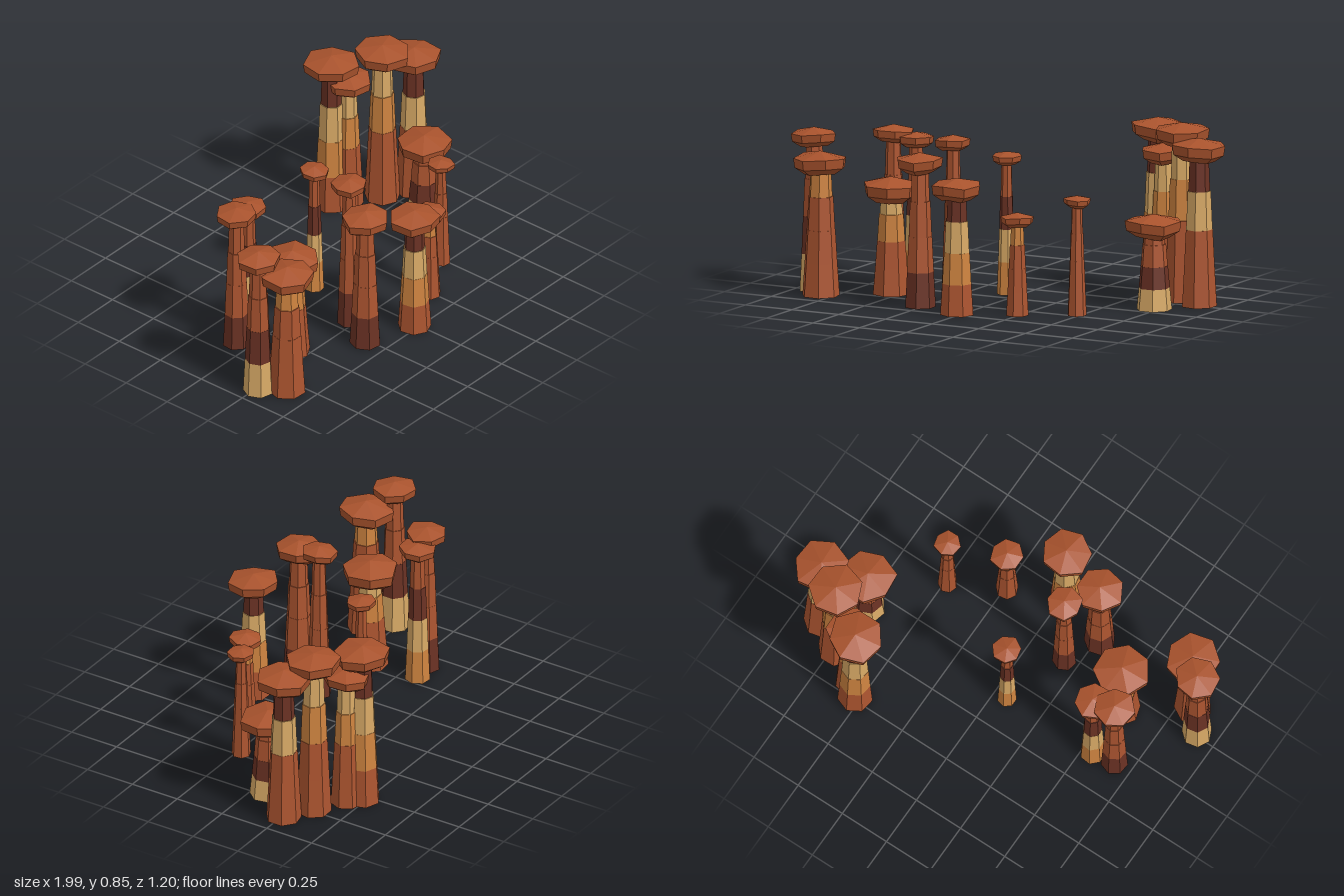
import * as THREE from 'three';

const SIDES = 7;

function mat(name, color) {
  const m = new THREE.MeshStandardMaterial({ color, flatShading: true });
  m.name = name;
  return m;
}

// Small seeded generator for natural irregularity
function seeded(seed) {
  let s = seed * 7919 + 17;
  return () => {
    s = (s * 16807) % 2147483647;
    return s / 2147483647;
  };
}

// x, z, top height, cap radius, base radius, strata colours from the ground up
// (r rust, o orange, t tan, d dark)
const SPIRES = [
  [-0.90, 0.265, 0.78, 0.105, 0.072, 'tdrr'],
  [-0.81, 0.365, 0.69, 0.130, 0.090, 'rrro'],
  [-0.66, -0.07, 0.76, 0.098, 0.065, 'drrr'],
  [-0.55, -0.09, 0.73, 0.088, 0.060, 'otdr'],
  [-0.54, 0.17, 0.56, 0.138, 0.088, 'rrot'],
  [-0.265, 0.39, 0.735, 0.115, 0.075, 'drrr'],
  [-0.18, 0.22, 0.80, 0.087, 0.058, 'drrr'],
  [-0.065, -0.09, 0.68, 0.070, 0.046, 'otdr'],
  [-0.015, 0.48, 0.65, 0.122, 0.080, 'rotd'],
  [0.24, 0.36, 0.49, 0.080, 0.054, 'rrro'],
  [0.485, 0.225, 0.57, 0.066, 0.046, 'rrrr'],
  [0.53, -0.48, 0.835, 0.128, 0.085, 'rotd'],
  [0.59, -0.43, 0.725, 0.112, 0.075, 'rrot'],
  [0.735, -0.34, 0.85, 0.130, 0.085, 'rrot'],
  [0.87, -0.26, 0.80, 0.130, 0.085, 'rrtd'],
  [0.73, -0.08, 0.455, 0.132, 0.085, 'tdrr'],
];

// Faceted cap stone: wide rim, narrow underside, low peak at y = 0
function capGeometry(r, rand) {
  const h = r * 0.82;
  const profile = [
    [0, -h], [0.6 * r, -h], [0.95 * r, -0.72 * h], [1.0 * r, -0.3 * h], [0, 0],
  ].map(([x, y]) => new THREE.Vector2(x, y));
  const geo = new THREE.LatheGeometry(profile, SIDES);
  const wobble = Array.from({ length: SIDES }, () => [0.92 + 0.12 * rand(), (rand() - 0.5) * 0.14 * h]);
  const pos = geo.attributes.position;
  for (let i = 0; i < pos.count; i++) {
    const ring = i % profile.length;
    if (ring === 0 || ring === profile.length - 1) continue;
    const [k, dy] = wobble[Math.floor(i / profile.length) % SIDES];
    pos.setXYZ(i, pos.getX(i) * k, pos.getY(i) + dy, pos.getZ(i) * k);
  }
  geo.computeVertexNormals();
  return geo;
}

export function createModel() {
  const strata = {
    r: mat('rust rock', 0xad5530),
    o: mat('orange rock', 0xcf8440),
    t: mat('tan rock', 0xd9aa66),
    d: mat('dark rock', 0x6b3224),
  };
  const capMat = mat('cap rock', 0xa9532d);
  const model = new THREE.Group();
  model.name = 'rockSpires';

  SPIRES.forEach(([x, z, top, capR, baseR, layers], n) => {
    const rand = seeded(n + 1);
    const spire = new THREE.Group();
    spire.name = 'spire' + (n + 1);
    spire.position.set(x, 0, z);

    // Four stacked strata, each stepping in a little
    const step = (top * 0.915) / 4;
    const widths = [1, 0.88, 0.76, 0.62];
    const turn = rand() * Math.PI;
    [...layers].forEach((key, i) => {
      const r = baseR * widths[i];
      const layer = new THREE.Mesh(new THREE.CylinderGeometry(r * 0.88, r, step, SIDES), strata[key]);
      layer.name = 'stratum' + (i + 1);
      layer.position.y = step * (i + 0.5);
      layer.rotation.y = turn;
      spire.add(layer);
    });

    // Balanced cap stone
    const cap = new THREE.Mesh(capGeometry(capR * 1.02, rand), capMat);
    cap.name = 'capStone';
    cap.position.y = top;
    cap.rotation.y = rand() * Math.PI * 2;
    spire.add(cap);
    model.add(spire);
  });
  return model;
}
